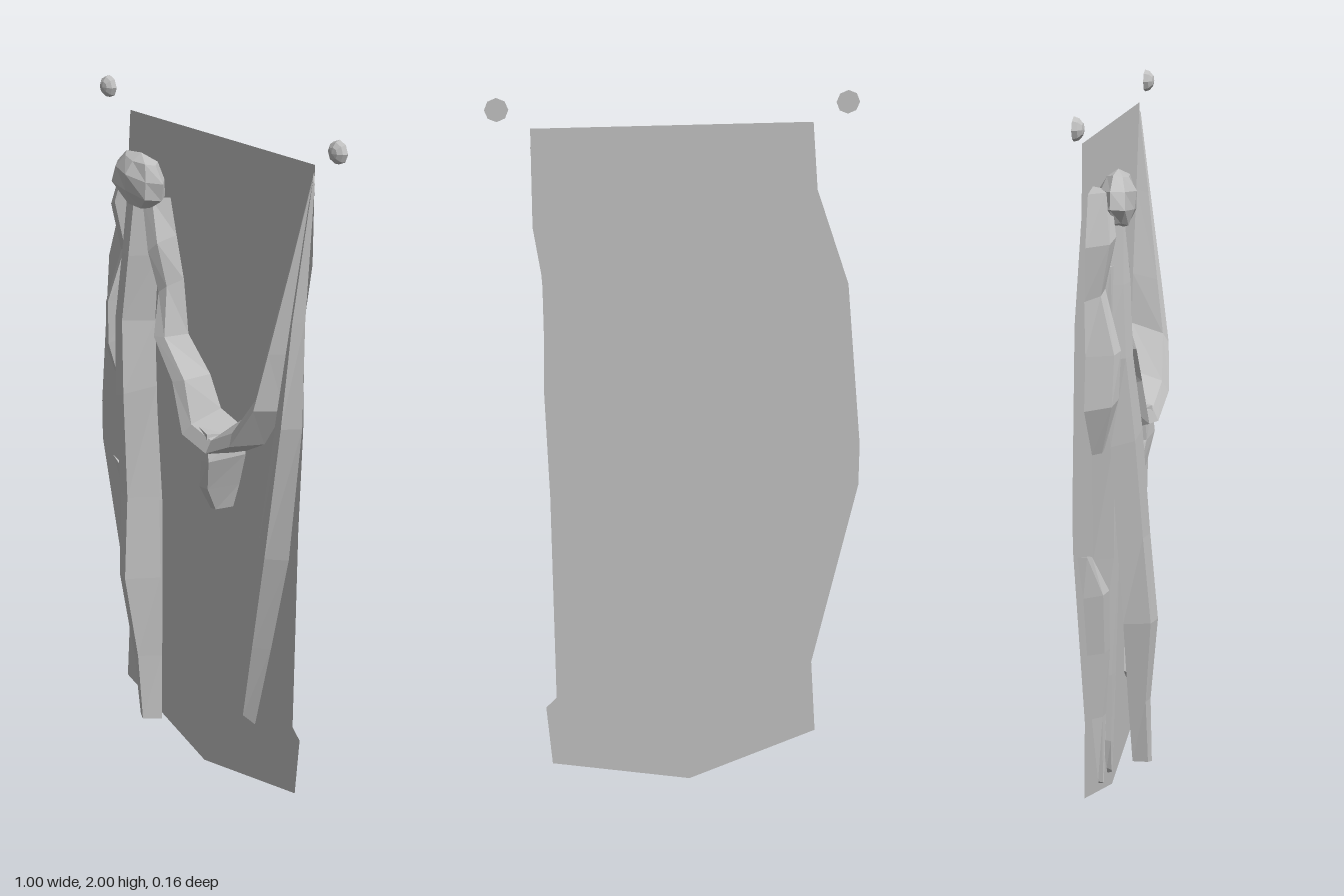
import * as THREE from 'three';

const cloth = new THREE.MeshStandardMaterial({ color: 0xc0c0c0, flatShading: true, side: THREE.DoubleSide });
cloth.name = 'grey cloth';

// Fold of cloth. Each row: [x1, y1, x2, y2, back z, front z, ridge position 0..1]
function fold(name, rows) {
  const pos = [], index = [], n = 4;
  for (const [x1, y1, x2, y2, zb, zf, t] of rows) {
    const at = (s, z) => pos.push(x1 + (x2 - x1) * s, y1 + (y2 - y1) * s, z);
    at(0, zb);
    at(Math.max(0.04, t - 0.2), zb + (zf - zb) * 0.85);
    at(Math.min(0.96, t + 0.15), zf);
    at(1, zb);
  }
  for (let r = 0; r < rows.length - 1; r++) {
    for (let k = 0; k < n; k++) {
      const a = r * n + k, b = r * n + (k + 1) % n;
      index.push(a, a + n, b, b, a + n, b + n);
    }
  }
  const e = (rows.length - 1) * n;
  index.push(0, 1, 2, 0, 2, 3, e, e + 2, e + 1, e, e + 3, e + 2);
  const g = new THREE.BufferGeometry();
  g.setAttribute('position', new THREE.Float32BufferAttribute(pos, 3));
  g.setIndex(index);
  const flat = g.toNonIndexed();
  flat.computeVertexNormals();
  const mesh = new THREE.Mesh(flat, cloth);
  mesh.name = name;
  return mesh;
}

export function createModel() {
  const model = new THREE.Group();
  model.name = 'drapedCloth';

  // Flat hanging sheet
  const outline = [
    [-0.355, 1.92], [-0.37, 1.74], [-0.46, 1.48], [-0.505, 1.02], [-0.505, 0.9],
    [-0.385, 0.36], [-0.4, 0.14], [-0.035, 0.005], [0.36, 0.08], [0.375, 0.26],
    [0.345, 0.29], [0.35, 0.9], [0.36, 1.2], [0.355, 1.5], [0.38, 1.66], [0.38, 1.92],
  ].map(([x, y]) => new THREE.Vector2(x, y));
  const sheet = new THREE.Mesh(new THREE.ShapeGeometry(new THREE.Shape(outline)), cloth);
  sheet.name = 'backSheet';
  sheet.position.z = -0.08;
  model.add(sheet);

  // Half-round wall pegs
  for (const [name, x] of [['rightPeg', -0.445], ['leftPeg', 0.465]]) {
    const g = new THREE.SphereGeometry(0.031, 8, 3, 0, Math.PI * 2, 0, Math.PI / 2);
    const peg = new THREE.Mesh(g, cloth);
    peg.name = name;
    peg.rotation.x = Math.PI / 2;
    peg.position.set(x, 1.97, -0.08);
    peg.scale.y = 0.85;
    const back = new THREE.Mesh(new THREE.CircleGeometry(0.031, 8), cloth);
    back.name = name + 'Back';
    back.position.set(x, 1.97, -0.08);
    model.add(peg, back);
  }

  // Gathered knot
  const knot = new THREE.Mesh(new THREE.SphereGeometry(1, 8, 5), cloth);
  knot.name = 'knot';
  const p = knot.geometry.attributes.position;
  for (let i = 0; i < p.count; i++) {
    const k = 1 + 0.06 * Math.sin(p.getX(i) * 5 + p.getY(i) * 7);
    p.setXYZ(i, p.getX(i) * k, p.getY(i) * k, p.getZ(i) * k);
  }
  knot.scale.set(0.103, 0.076, 0.05);
  knot.position.set(-0.24, 1.76, -0.015);
  knot.rotation.z = -0.15;
  model.add(knot);

  // Long front tail below the knot
  model.add(fold('frontTail', [
    [-0.31, 1.74, -0.20, 1.74, -0.05, 0.0, 0.5],
    [-0.315, 1.55, -0.20, 1.55, -0.05, 0.02, 0.45],
    [-0.325, 1.36, -0.205, 1.36, -0.04, 0.03, 0.35],
    [-0.315, 1.12, -0.175, 1.18, -0.02, 0.05, 0.4],
    [-0.285, 0.85, -0.155, 0.85, -0.01, 0.065, 0.45],
    [-0.255, 0.6, -0.14, 0.6, 0.0, 0.085, 0.35],
    [-0.215, 0.35, -0.13, 0.35, 0.005, 0.06, 0.35],
    [-0.18, 0.155, -0.125, 0.14, 0.01, 0.06, 0.35],
  ]));

  // Narrow tail behind the front tail
  model.add(fold('middleTail', [
    [-0.34, 1.6, -0.24, 1.6, -0.07, -0.01, 0.5],
    [-0.325, 1.15, -0.24, 1.15, -0.07, 0.0, 0.4],
    [-0.31, 0.8, -0.215, 0.8, -0.07, -0.01, 0.45],
    [-0.285, 0.45, -0.21, 0.45, -0.065, -0.025, 0.5],
    [-0.255, 0.25, -0.21, 0.22, -0.06, -0.035, 0.5],
    [-0.225, 0.15, -0.215, 0.13, -0.055, -0.04, 0.5],
  ]));

  // Outer low fold
  model.add(fold('outerTail', [
    [-0.455, 0.86, -0.31, 0.81, -0.08, -0.065, 0.6],
    [-0.39, 0.72, -0.28, 0.72, -0.08, -0.025, 0.5],
    [-0.35, 0.54, -0.25, 0.54, -0.08, -0.03, 0.45],
    [-0.32, 0.34, -0.25, 0.34, -0.075, -0.045, 0.5],
    [-0.292, 0.14, -0.282, 0.13, -0.065, -0.05, 0.5],
  ]));

  // Crumpled fold beside the knot
  model.add(fold('sideFold', [
    [-0.34, 1.79, -0.28, 1.80, -0.07, -0.02, 0.5],
    [-0.375, 1.66, -0.29, 1.70, -0.07, 0.0, 0.4],
    [-0.37, 1.52, -0.3, 1.56, -0.075, -0.03, 0.5],
    [-0.385, 1.38, -0.315, 1.4, -0.07, 0.015, 0.4],
    [-0.405, 1.24, -0.32, 1.28, -0.07, 0.01, 0.45],
    [-0.36, 1.11, -0.345, 1.13, -0.06, -0.03, 0.5],
  ]));

  // Swag hanging from the knot to the upper corner (upper edge first)
  model.add(fold('swag', [
    [-0.16, 1.72, -0.25, 1.7, -0.06, -0.01, 0.5],
    [-0.135, 1.62, -0.215, 1.54, -0.06, 0.005, 0.4],
    [-0.11, 1.5, -0.185, 1.44, -0.065, -0.015, 0.5],
    [-0.085, 1.35, -0.175, 1.34, -0.06, 0.015, 0.5],
    [-0.01, 1.25, -0.11, 1.22, -0.075, 0.015, 0.4],
    [0.03, 1.16, -0.03, 1.07, -0.08, 0.025, 0.55],
    [0.1, 1.14, 0.09, 1.04, -0.08, 0.03, 0.5],
    [0.18, 1.2, 0.21, 1.11, -0.08, 0.04, 0.6],
    [0.265, 1.31, 0.285, 1.23, -0.08, 0.025, 0.55],
    [0.285, 1.45, 0.315, 1.4, -0.08, 0.0, 0.55],
    [0.335, 1.68, 0.35, 1.65, -0.08, -0.04, 0.5],
    [0.378, 1.9, 0.38, 1.87, -0.08, -0.075, 0.5],
  ]));

  // Small point dropping from the swag
  model.add(fold('swagDrop', [
    [-0.01, 1.13, 0.13, 1.12, -0.07, 0.015, 0.5],
    [0.01, 1.02, 0.14, 1.06, -0.075, 0.02, 0.5],
    [-0.03, 0.93, 0.11, 0.96, -0.08, 0.0, 0.55],
    [0.01, 0.865, 0.09, 0.885, -0.075, -0.035, 0.5],
  ]));

  // Long fold from the upper corner
  model.add(fold('cornerFold', [
    [0.377, 1.9, 0.381, 1.87, -0.08, -0.075, 0.5],
    [0.325, 1.5, 0.358, 1.5, -0.08, -0.045, 0.5],
    [0.27, 1.2, 0.356, 1.2, -0.08, -0.035, 0.45],
    [0.205, 0.8, 0.315, 0.8, -0.08, -0.035, 0.4],
    [0.16, 0.5, 0.25, 0.5, -0.08, -0.045, 0.4],
    [0.13, 0.29, 0.19, 0.23, -0.078, -0.055, 0.4],
  ]));

  return model;
}
